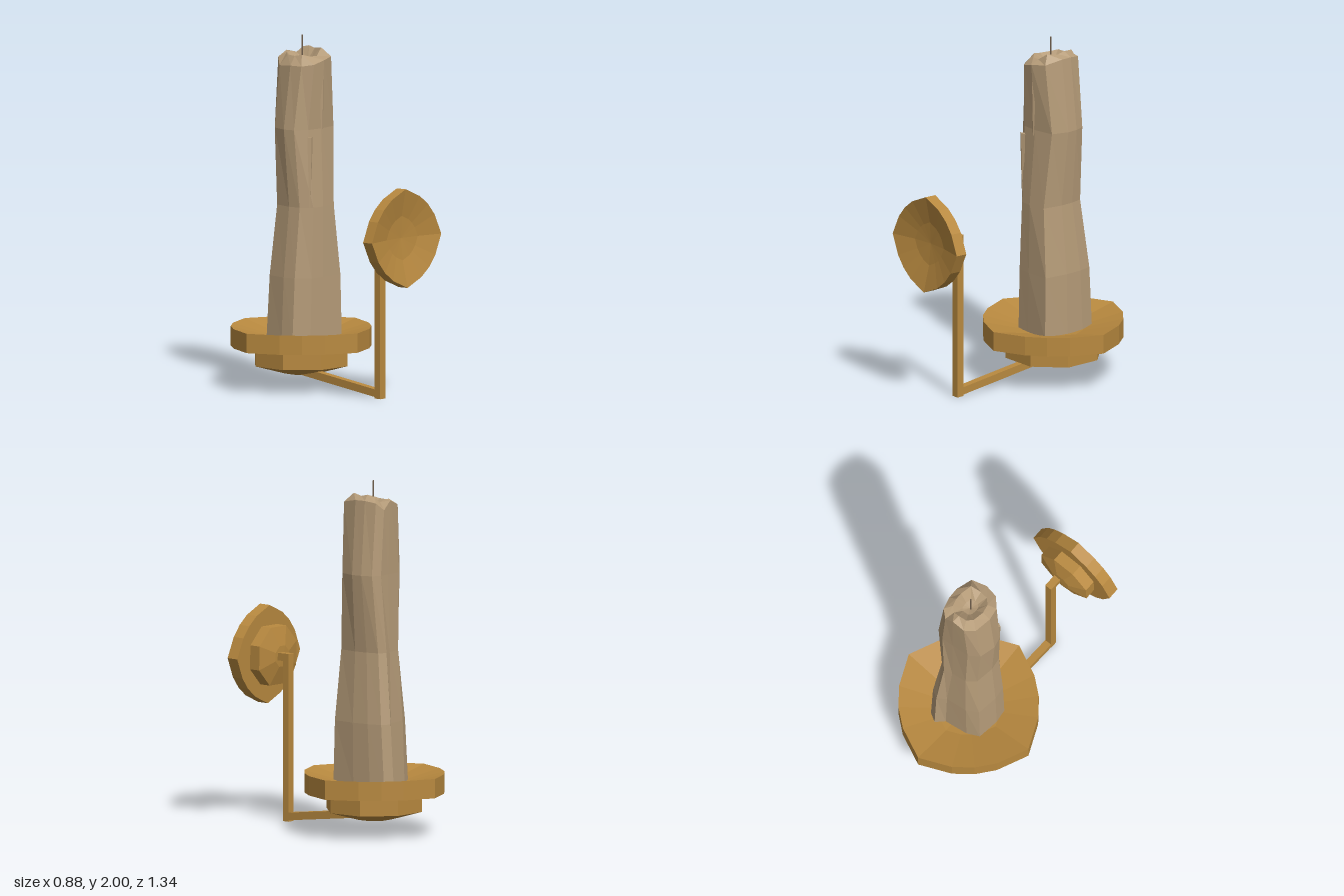
import * as THREE from 'three';

const brass = new THREE.MeshStandardMaterial({ color: 0xb8893f, flatShading: true });
brass.name = 'brass';
const wax = new THREE.MeshStandardMaterial({ color: 0xb59b78, flatShading: true });
wax.name = 'wax';
const soot = new THREE.MeshStandardMaterial({ color: 0x6b5a48, flatShading: true });
soot.name = 'wick';

// Skins a stack of equal-length rings, running up the outside and then inward.
function loft(rings) {
  const pos = [];
  for (let k = 0; k < rings.length - 1; k++) {
    const lo = rings[k], up = rings[k + 1], n = lo.length;
    for (let i = 0; i < n; i++) {
      const j = (i + 1) % n;
      pos.push(...lo[i], ...up[i], ...up[j], ...lo[i], ...up[j], ...lo[j]);
    }
  }
  const g = new THREE.BufferGeometry();
  g.setAttribute('position', new THREE.Float32BufferAttribute(pos, 3));
  g.computeVertexNormals();
  return g;
}

function mesh(name, geometry, material) {
  const m = new THREE.Mesh(geometry, material);
  m.name = name;
  return m;
}

// Sixteen-sided outline, drawn out to a point on each axis.
const quarter = [[0.44, 0], [0.36, 0.18], [0.28, 0.28], [0.18, 0.36]];
const outline = [];
for (let q = 0; q < 4; q++) {
  for (const [x, z] of quarter) {
    outline.push([[x, z], [-z, x], [-x, -z], [z, -x]][q]);
  }
}
const dishRing = (s, y) => outline.map(([x, z]) => [x * s, y, z * s]);

// Hollow dish on a faceted bowl, standing on y = 0.
function createDish(name) {
  const g = new THREE.Group();
  g.name = name;
  g.add(mesh('dishRim', loft([
    dishRing(0, 0.16), dishRing(1, 0.16), dishRing(1, 0.27), dishRing(0.45, 0.215), dishRing(0, 0.2),
  ]), brass));
  const bowlRing = (r, y) => Array.from({ length: 8 }, (_, i) => {
    const a = (i + 0.5) * Math.PI / 4;
    return [Math.cos(a) * r, y, Math.sin(a) * r];
  });
  g.add(mesh('bowl', loft([
    bowlRing(0, 0), bowlRing(0.1, 0.005), bowlRing(0.28, 0.055), bowlRing(0.28, 0.17),
  ]), brass));
  return g;
}

// Square bar between two points of the side plane x = -0.045.
function bar(name, y0, z0, y1, z1) {
  const t = 0.043;
  const m = mesh(name, new THREE.BoxGeometry(t, t, Math.hypot(y1 - y0, z1 - z0)), brass);
  m.position.set(-0.045, (y0 + y1) / 2, (z0 + z1) / 2);
  m.rotation.x = -Math.atan2(y1 - y0, z1 - z0);
  return m;
}

// Candle outlines at foot and tip, in units of half the width and depth.
const foot = [[1, 0.2], [0.93, 1], [0, 0.97], [-0.5, 0.95], [-0.95, 0.6], [-1, 0.2],
  [-0.92, -0.48], [-0.5, -0.65], [0.3, -0.75], [0.55, -1], [0.85, -0.85], [0.97, -0.4]];
const tip = [[1, 0.1], [0.8, 0.8], [0.1, 1], [-0.5, 0.95], [-0.9, 0.6], [-1, 0.1],
  [-0.85, -0.6], [-0.5, -0.95], [0.1, -1], [0.55, -1], [0.85, -0.8], [0.98, -0.35]];

function createCandle() {
  // y, x from, x to, z from, z to, share of the tip outline
  const levels = [
    [0.28, -0.185, 0.155, -0.435, -0.05, 0],
    [0.64, -0.172, 0.155, -0.415, -0.05, 0.2],
    [1.04, -0.138, 0.122, -0.37, -0.055, 0.6],
    [1.48, -0.168, 0.165, -0.352, -0.085, 0.85],
    [1.85, -0.125, 0.122, -0.355, -0.06, 1],
  ];
  const rings = levels.map(([y, x0, x1, z0, z1, t]) => foot.map(([fx, fz], i) => {
    const u = fx + (tip[i][0] - fx) * t, v = fz + (tip[i][1] - fz) * t;
    return [(x0 + x1) / 2 + u * (x1 - x0) / 2, y, (z0 + z1) / 2 + v * (z1 - z0) / 2];
  }));
  // uneven melted crest around a hollow
  const edge = [1.9, 1.88, 1.87, 1.85, 1.84, 1.84, 1.83, 1.87, 1.9, 1.85, 1.89, 1.9];
  const crest = [1.92, 1.93, 1.89, 1.89, 1.9, 1.89, 1.89, 1.9, 1.9, 1.89, 1.92, 1.93];
  const last = rings[4], c = [0, -0.215];
  const inset = (s, y) => last.map(([x, , z], i) => [c[0] + (x - c[0]) * s, y(i), c[1] + (z - c[1]) * s]);
  last.forEach((p, i) => { p[1] = edge[i]; });
  rings.push(inset(0.65, i => crest[i]), inset(0.3, () => 1.86), inset(0, () => 1.85));
  return mesh('candle', loft(rings), wax);
}

// Thin run of wax, tapering to a point at its lower end.
function drip(x, z, top, length) {
  const g = new THREE.CylinderGeometry(0.022, 0.006, length, 4);
  const m = mesh('waxDrip', g, wax);
  m.scale.z = 0.6;
  m.position.set(x, top - length / 2, z);
  return m;
}

export function createModel() {
  const model = new THREE.Group();
  model.name = 'wallCandleHolder';

  const tray = createDish('candleTray');
  tray.position.set(0, 0.075, -0.23);
  model.add(tray);

  // smaller dish turned to face forward
  const plate = createDish('reflectorPlate');
  plate.scale.setScalar(0.636);
  plate.rotation.x = Math.PI / 2 - 0.026;
  plate.position.set(-0.065, 0.932, 0.488);
  model.add(plate);

  model.add(bar('lowerArm', 0.031, 0.43, 0.105, -0.2));
  model.add(bar('uprightArm', 0.003, 0.432, 0.955, 0.432));
  model.add(bar('upperArm', 0.934, 0.411, 0.934, 0.51));

  model.add(createCandle());
  model.add(drip(0.01, -0.077, 1.87, 0.42));
  model.add(drip(-0.085, -0.078, 1.44, 0.4));

  const wick = mesh('wick', new THREE.CylinderGeometry(0.006, 0.006, 0.16, 4), soot);
  wick.position.set(-0.005, 1.92, -0.217);
  model.add(wick);
  return model;
}
